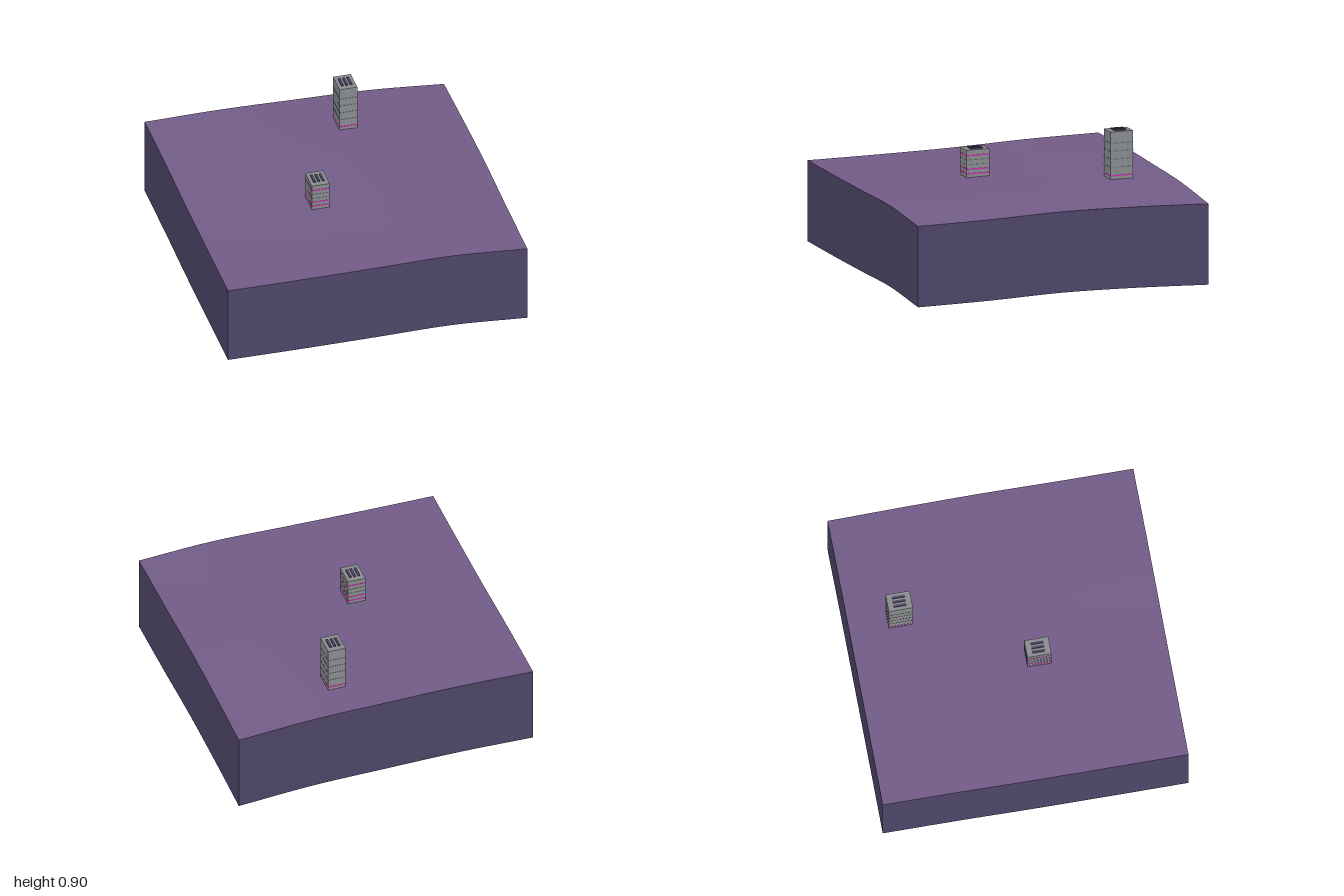
import * as THREE from 'three';

const mat = (name, color, side = THREE.FrontSide) => {
  const m = new THREE.MeshStandardMaterial({ color, side });
  m.name = name;
  return m;
};

// Ground heights: rows run from back to front, columns from x = -1 to x = 1
const HEIGHTS = [
  [0.598, 0.603, 0.592, 0.577, 0.535],
  [0.593, 0.592, 0.588, 0.578, 0.553],
  [0.577, 0.580, 0.580, 0.578, 0.560],
  [0.571, 0.571, 0.573, 0.575, 0.546],
  [0.570, 0.568, 0.570, 0.573, 0.540],
];
const SKIRT = 0.533;
const STEPS = 20;

// Smooth curve through evenly spaced values over -1..1
function spline(v, t) {
  const u = (t + 1) * 2;
  const i = Math.min(3, Math.floor(u)), f = u - i;
  const b = v[i], c = v[i + 1];
  const a = i > 0 ? v[i - 1] : 2 * b - c;
  const d = i < 3 ? v[i + 2] : 2 * c - b;
  return b + 0.5 * f * (c - a + f * (2 * a - 5 * b + 4 * c - d + f * (3 * (b - c) + d - a)));
}
const height = (x, z) => spline(HEIGHTS.map((row) => spline(row, x)), z);

function add(parent, name, geometry, material, x = 0, y = 0, z = 0) {
  const mesh = new THREE.Mesh(geometry, material);
  mesh.name = name;
  mesh.position.set(x, y, z);
  parent.add(mesh);
  return mesh;
}

// Gently rolling ground surface
function groundGeometry() {
  const g = new THREE.PlaneGeometry(2, 2, STEPS, STEPS).rotateX(-Math.PI / 2);
  const p = g.attributes.position;
  for (let i = 0; i < p.count; i++) p.setY(i, height(p.getX(i), p.getZ(i)));
  g.computeVertexNormals();
  return g;
}

// Side wall whose top and bottom both follow the ground edge
function wallGeometry(angle) {
  const g = new THREE.PlaneGeometry(2, 1, STEPS, 1).translate(0, 0, 1).rotateY(angle);
  const p = g.attributes.position;
  for (let i = 0; i < p.count; i++) {
    const x = THREE.MathUtils.clamp(p.getX(i), -1, 1);
    const z = THREE.MathUtils.clamp(p.getZ(i), -1, 1);
    p.setXYZ(i, x, height(x, z) - (p.getY(i) > 0 ? 0 : SKIRT), z);
  }
  g.computeVertexNormals();
  return g;
}

function tower(name, { x, z, base, top, bright, dull }, m) {
  const g = new THREE.Group();
  g.name = name;
  g.position.set(x, 0, z);
  const w = 0.118, d = 0.157;
  add(g, 'towerBody', new THREE.BoxGeometry(w, top - base, d), m.concrete, 0, (top + base) / 2, 0);

  // Floor bands, one thin plate on each side
  const bands = (label, levels, material, h) => {
    for (const y of levels) {
      for (const s of [-1, 1]) {
        add(g, label, new THREE.BoxGeometry(w, h, 0.002), material, 0, y, s * d / 2);
        add(g, label, new THREE.BoxGeometry(0.002, h, d), material, s * w / 2, y, 0);
      }
    }
  };
  bands('litBand', bright, m.neon, 0.009);
  bands('floorBand', dull, m.band, 0.005);

  // Roof vents
  for (const i of [-1, 0, 1]) {
    add(g, 'roofVent', new THREE.BoxGeometry(0.015, 0.008, 0.082), m.earth, i * 0.029, top + 0.004, 0);
  }
  return g;
}

export function createModel() {
  const root = new THREE.Group();
  root.name = 'terrainTile';
  const m = {
    ground: mat('purple ground', 0x735c88, THREE.DoubleSide),
    earth: mat('dark violet earth', 0x4e4669, THREE.DoubleSide),
    concrete: mat('grey concrete', 0x8a8d8f),
    band: mat('slate band', 0x6f777d),
    neon: mat('magenta light', 0xc832b0),
  };

  add(root, 'ground', groundGeometry(), m.ground);
  ['frontWall', 'leftWall', 'backWall', 'rightWall'].forEach((name, i) =>
    add(root, name, wallGeometry(i * Math.PI / 2), m.earth));

  root.add(tower('shortTower', {
    x: -0.17, z: 0.164, base: 0.575, top: 0.757,
    bright: [0.601, 0.631, 0.721], dull: [0.661, 0.691],
  }, m));
  root.add(tower('tallTower', {
    x: 0.247, z: -0.667, base: 0.58, top: 0.897,
    bright: [0.609], dull: [0.664, 0.717, 0.77, 0.822],
  }, m));
  return root;
}
